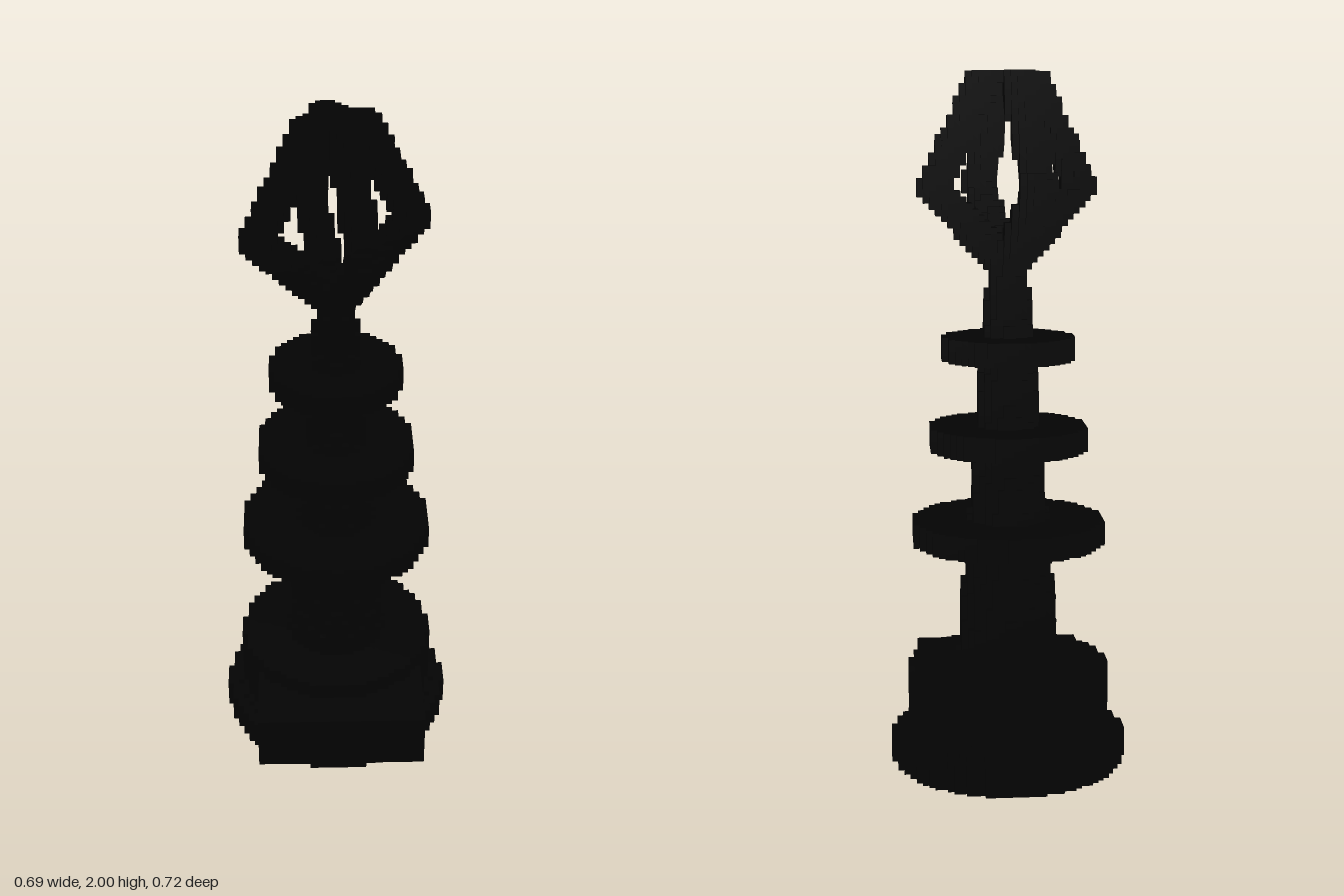
import * as THREE from 'three';

const V = 2 / 116;         // edge of one cube
const AXIS_Z = -1.5 * V;   // the tower axis sits slightly behind the centre
const material = new THREE.MeshStandardMaterial({ color: 0x030303 });

// Fills every cube whose centre passes the test, keeping only the exposed faces.
function blocks(name, min, max, inside) {
  const lo = min.map(n => Math.floor(n / V) - 1);
  const hi = max.map(n => Math.ceil(n / V) + 1);
  const size = hi.map((n, i) => n - lo[i] + 1);
  const filled = new Uint8Array(size[0] * size[1] * size[2]);
  const at = c => ((c[0] - lo[0]) * size[1] + c[1] - lo[1]) * size[2] + c[2] - lo[2];
  const each = visit => {
    for (let x = lo[0] + 1; x < hi[0]; x++)
      for (let y = lo[1] + 1; y < hi[1]; y++)
        for (let z = lo[2] + 1; z < hi[2]; z++) visit([x, y, z]);
  };
  each(c => { filled[at(c)] = inside(...c.map(n => (n + 0.5) * V)) ? 1 : 0; });

  const position = [], normal = [], index = [];
  each(c => {
    if (!filled[at(c)]) return;
    for (let a = 0; a < 3; a++) for (const side of [0, 1]) {
      const next = [...c];
      next[a] += side * 2 - 1;
      if (filled[at(next)]) continue;
      const first = position.length / 3;
      for (const [u, w] of [[0, 0], [1, 0], [1, 1], [0, 1]]) {
        const p = [...c], n = [0, 0, 0];
        p[a] += side;
        p[(a + 1) % 3] += u;
        p[(a + 2) % 3] += w;
        n[a] = side * 2 - 1;
        position.push(...p.map(k => k * V));
        normal.push(...n);
      }
      const quad = side ? [0, 1, 2, 0, 2, 3] : [0, 2, 1, 0, 3, 2];
      index.push(...quad.map(k => first + k));
    }
  });
  const geometry = new THREE.BufferGeometry();
  geometry.setAttribute('position', new THREE.Float32BufferAttribute(position, 3));
  geometry.setAttribute('normal', new THREE.Float32BufferAttribute(normal, 3));
  geometry.setIndex(index);
  const mesh = new THREE.Mesh(geometry, material);
  mesh.name = name;
  return mesh;
}

// Upright round part whose radius may change with height.
function round(name, y0, y1, radius) {
  const r = typeof radius === 'function' ? radius : () => radius;
  const R = Math.max(r(y0), r(y1));
  return blocks(name, [-R, y0, AXIS_Z - R], [R, y1, AXIS_Z + R],
    (x, y, z) => y > y0 && y < y1 && Math.hypot(x, z - AXIS_Z) < r(y));
}

// Bent claw: a thick path from the column out to an elbow and back in to the tip.
function claw(angle) {
  const point = (r, y) => new THREE.Vector3(r * Math.cos(angle), y, AXIS_Z + r * Math.sin(angle));
  const path = [point(0.0, 1.46), point(0.225, 1.68), point(0.058, 2.0)];
  const limbs = [new THREE.Line3(path[0], path[1]), new THREE.Line3(path[1], path[2])];
  const p = new THREE.Vector3(), q = new THREE.Vector3();
  return blocks('claw', [-0.32, 1.4, -0.34], [0.32, 2, 0.3], (x, y, z) => {
    if (y > 2) return false;
    p.set(x, y, z);
    return limbs.some(l => l.closestPointToPoint(p, true, q).distanceTo(p) < 0.048);
  });
}

export function createModel() {
  const model = new THREE.Group();
  model.name = 'tower';

  // Stepped foot and plinth
  model.add(round('foot', 0, 0.088, 0.338));
  model.add(round('footStep', 0.086, 0.104, 0.305));
  model.add(round('plinth', 0.1, 0.295, 0.288));

  // Block on the front of the plinth
  const block = new THREE.Mesh(new THREE.BoxGeometry(0.5, 0.172, 0.362), material);
  block.name = 'frontBlock';
  block.position.set(0.0086, 0.157, 0.181);
  model.add(block);

  // Tapering column
  model.add(round('column', 0.28, 1.48,
    y => THREE.MathUtils.mapLinear(y, 0.3, 1.45, 0.15, 0.056)));

  // Three rings, smaller towards the top
  for (const [y0, y1, r] of [[0.655, 0.728, 0.276], [0.934, 1.002, 0.23], [1.196, 1.262, 0.186]])
    model.add(round('ring', y0, y1, r));

  // Four claws around the top
  const crown = new THREE.Group();
  crown.name = 'clawCrown';
  for (let i = 0; i < 4; i++) crown.add(claw(-0.32 + i * Math.PI / 2));
  model.add(crown);

  return model;
}
